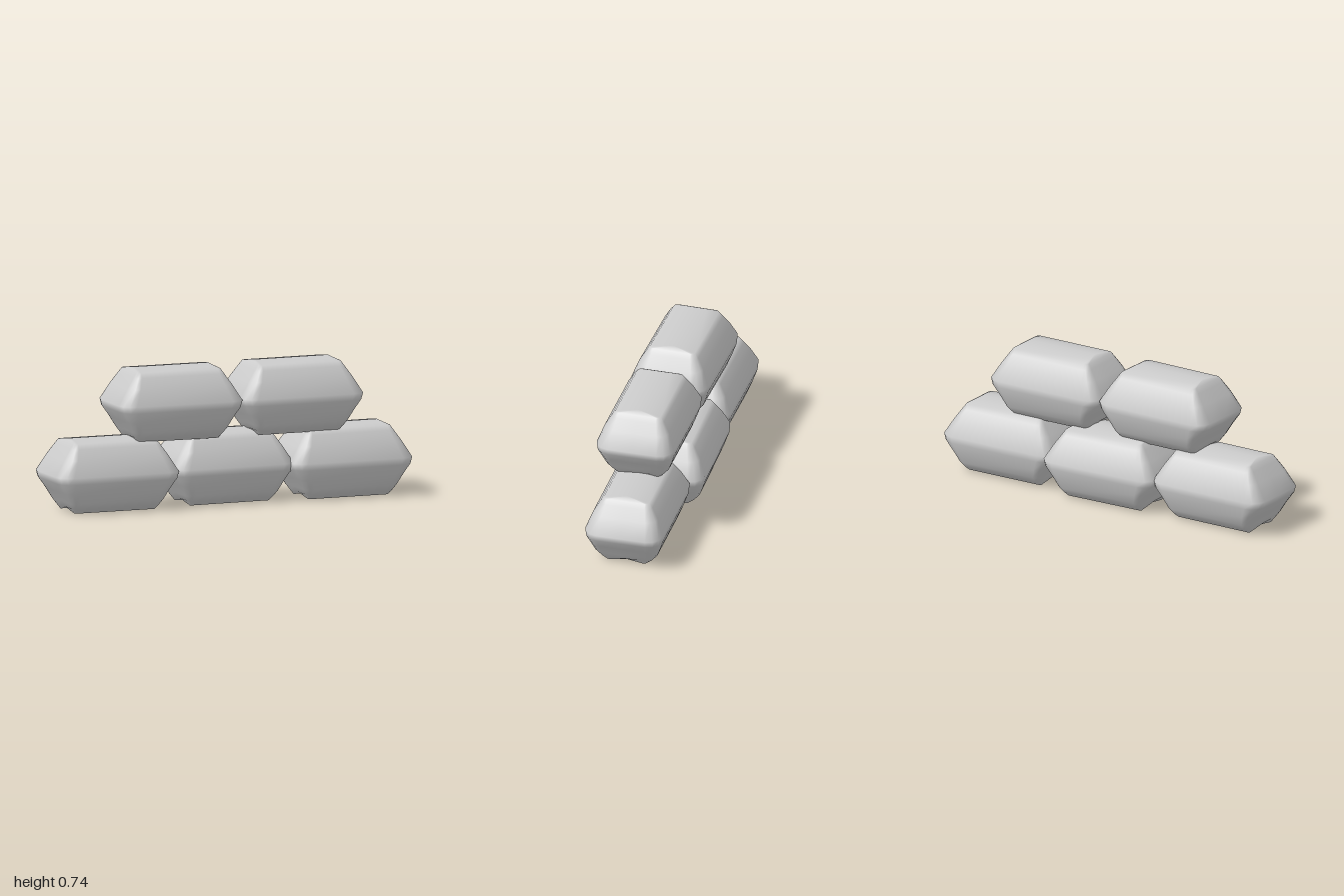
import * as THREE from 'three';

// Bag profile from the open underside to the top seam:
// [height, half length, half depth, corner radius]
const LEVELS = [
  [0.004, 0.225, 0.105, 0.01],
  [0.03, 0.242, 0.14, 0.03],
  [0.06, 0.262, 0.166, 0.045],
  [0.115, 0.295, 0.187, 0.06],
  [0.17, 0.334, 0.205, 0.075],
  [0.205, 0.343, 0.207, 0.075],
  [0.29, 0.29, 0.174, 0.055],
  [0.345, 0.252, 0.141, 0.035],
  [0.37, 0.234, 0.122, 0.02],
  [0.379, 0.218, 0.06, 0.01],
  [0.387, 0.205, 0, 0],
];
const ARC = 3; // segments per rounded corner

// Rounded rectangle cross-section, with a midpoint on each short end
function ring([y, hl, hd, r], isRim) {
  const pts = [[hl, isRim ? y + 0.015 : y, 0]];
  const corners = [[1, 1], [-1, 1], [-1, -1], [1, -1]];
  corners.forEach(([sx, sz], c) => {
    for (let i = 0; i <= ARC; i++) {
      const a = (c + i / ARC) * Math.PI / 2;
      pts.push([sx * (hl - r) + r * Math.cos(a), y, sz * (hd - r) + r * Math.sin(a)]);
    }
    if (c === 1) pts.push([-hl, isRim ? y + 0.015 : y, 0]);
  });
  return pts;
}

function bagGeometry() {
  const rings = LEVELS.map((level, i) => ring(level, i === 0));
  const n = rings[0].length;
  const index = [];
  for (let j = 0; j < rings.length - 1; j++) {
    for (let i = 0; i < n; i++) {
      const a = j * n + i, b = j * n + (i + 1) % n;
      index.push(a, a + n, b, b, a + n, b + n);
    }
  }
  const geo = new THREE.BufferGeometry();
  geo.setAttribute('position', new THREE.Float32BufferAttribute(rings.flat(2), 3));
  geo.setIndex(index);
  geo.computeVertexNormals();
  // The seam points coincide across the ridge, so point them straight up
  const normal = geo.attributes.normal;
  for (let i = n * (rings.length - 1); i < n * rings.length; i++) normal.setXYZ(i, 0, 1, 0);
  return geo;
}

export function createModel() {
  const group = new THREE.Group();
  group.name = 'sandbagWall';
  const geometry = bagGeometry();
  const material = new THREE.MeshStandardMaterial({ color: 0xcccccc, side: THREE.DoubleSide });

  // Slightly uneven stack: [name, x, y, z, yaw]
  const bags = [
    ['lowerRightBag', -0.655, 0, -0.01, -0.025],
    ['lowerMiddleBag', 0.005, 0, -0.035, 0.005],
    ['lowerLeftBag', 0.655, 0, 0.02, -0.012],
    ['upperRightBag', -0.305, 0.357, 0.015, -0.04],
    ['upperLeftBag', 0.372, 0.357, 0.03, -0.018],
  ];
  for (const [name, x, y, z, yaw] of bags) {
    const bag = new THREE.Mesh(geometry, material);
    bag.name = name;
    bag.position.set(x, y, z);
    bag.rotation.y = yaw;
    group.add(bag);
  }
  return group;
}
